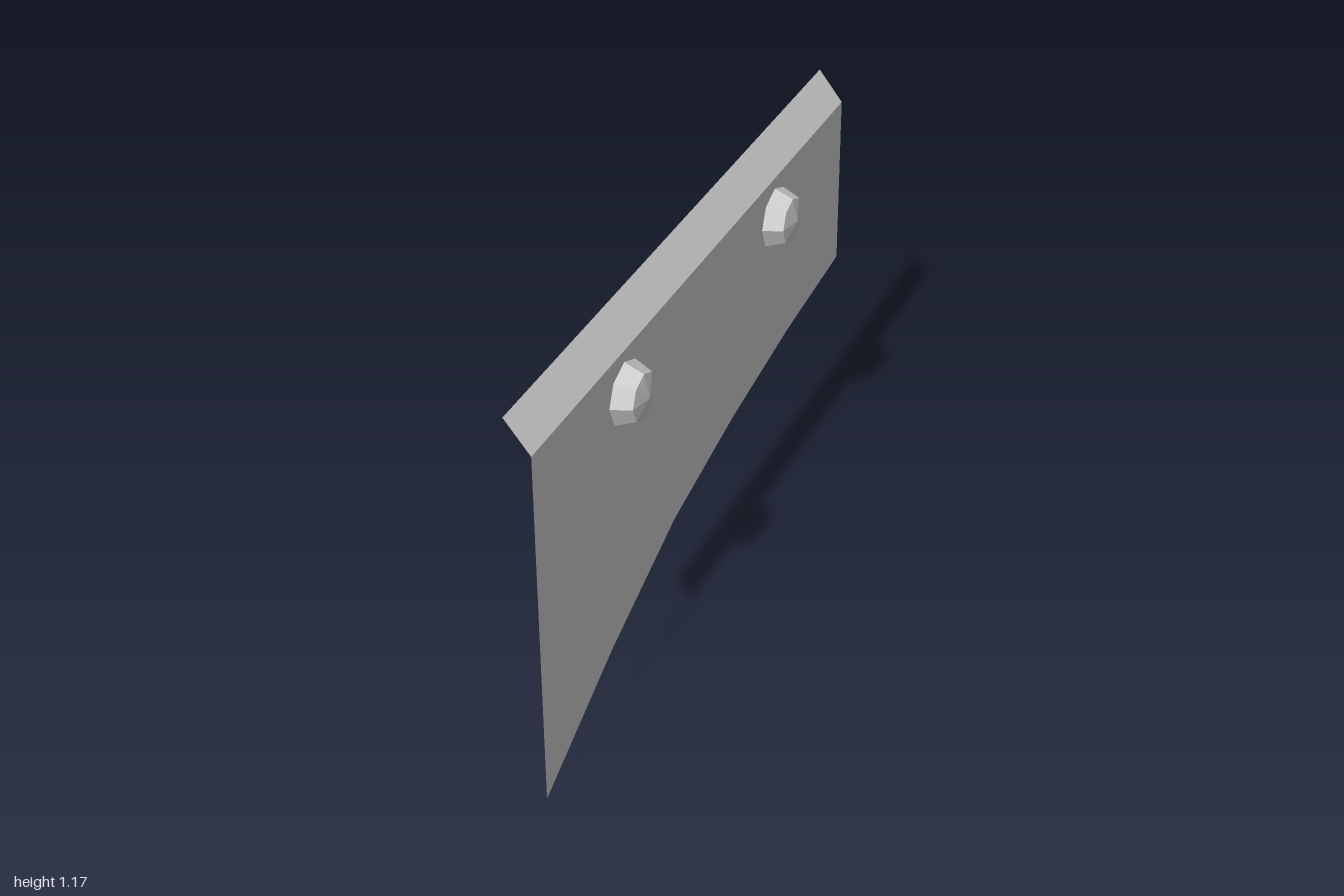
import * as THREE from 'three';

export function createModel() {
  const group = new THREE.Group();
  const grey = new THREE.MeshStandardMaterial({
    name: 'light grey', color: 0xcccccc, flatShading: true, side: THREE.DoubleSide,
  });
  const add = (name, geometry) => {
    const mesh = new THREE.Mesh(geometry, grey);
    mesh.name = name;
    group.add(mesh);
    return mesh;
  };
  const foldY = 1.08;

  // Thin upright sheet with a curved lower edge, drawn as (-z, y) and turned to face +x
  const outline = [[-1, 0], [-0.6, 0.2], [-0.2, 0.36], [0.2, 0.45], [0.6, 0.513], [1, 0.553], [1, foldY], [-1, foldY]];
  const shape = new THREE.Shape(outline.map(([x, y]) => new THREE.Vector2(x, y)));
  add('panel', new THREE.ShapeGeometry(shape).rotateY(Math.PI / 2));

  // Folded lip leaning away along the top edge
  const rise = 0.092, lean = 0.072;
  const lip = new THREE.PlaneGeometry(2, Math.hypot(rise, lean));
  lip.rotateX(-Math.atan2(lean, rise)).rotateY(Math.PI / 2);
  add('topLip', lip).position.set(-lean / 2, foldY + rise / 2, 0);

  // Faceted eight-sided bolt heads
  const profile = [[0.09, 0], [0.068, 0.055], [0, 0.07]].map(([r, h]) => new THREE.Vector2(r, h));
  const bolt = new THREE.LatheGeometry(profile, 8).rotateZ(-Math.PI / 2);
  for (const [name, z] of [['frontBolt', 0.493], ['rearBolt', -0.49]]) {
    add(name, bolt).position.set(0, 0.957, z);
  }
  return group;
}
